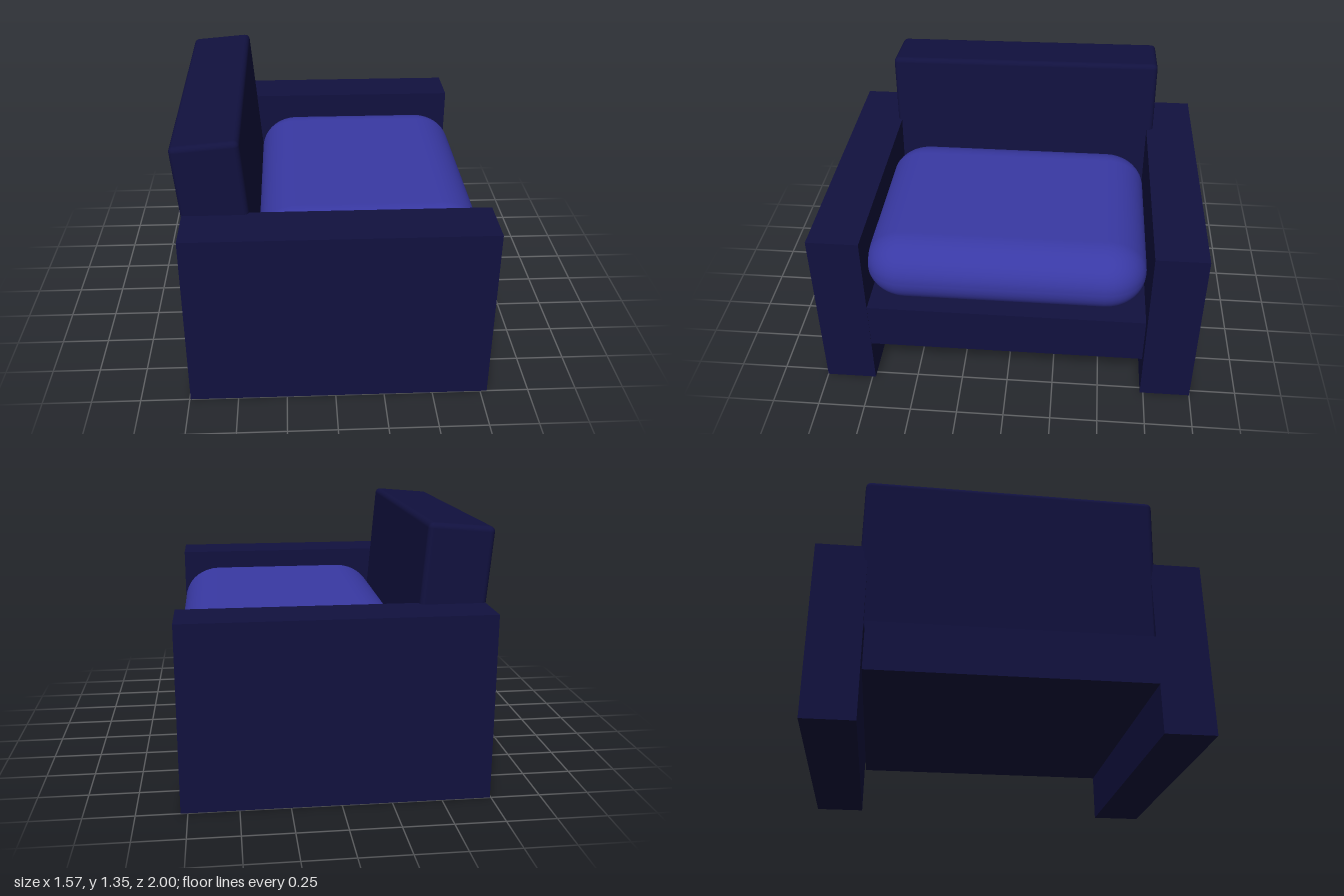
import * as THREE from 'three';
import { RoundedBoxGeometry } from 'three/addons/geometries/RoundedBoxGeometry.js';

export function createModel() {
  const model = new THREE.Group();
  model.name = 'armchair';
  const navy = new THREE.MeshStandardMaterial({ color: 0x11113f });
  const blue = new THREE.MeshStandardMaterial({ color: 0x3939a4 });

  const add = (name, geometry, material, x, y, z) => {
    const mesh = new THREE.Mesh(geometry, material);
    mesh.name = name;
    mesh.position.set(x, y, z);
    model.add(mesh);
    return mesh;
  };

  // Slab arms reaching down to the floor; the chair faces +x
  for (const [name, side] of [['leftArm', -1], ['rightArm', 1]]) {
    add(name, new THREE.BoxGeometry(1.53, 0.945, 0.268), navy, 0.02, 0.4725, side * 0.866);
  }

  // Seat base hung between the arms
  add('seatBase', new THREE.BoxGeometry(1.532, 0.26, 1.457), navy, 0.017, 0.39, 0.0045);

  // Leaning backrest with softened edges
  const back = add('backrest', new RoundedBoxGeometry(0.336, 0.84, 1.525, 3, 0.028), navy, -0.581, 0.912, -0.008);
  back.rotation.set(0.009, 0, 0.085);

  // Plump seat cushion: rounded box stretched in plan for wider corners
  const stretchX = 1.15, stretchZ = 1.2;
  const cushion = new RoundedBoxGeometry(1.155 / stretchX, 0.37, 1.475 / stretchZ, 5, 0.18);
  cushion.scale(stretchX, 1, stretchZ);
  add('seatCushion', cushion, blue, 0.198, 0.69, 0.0175);

  return model;
}
